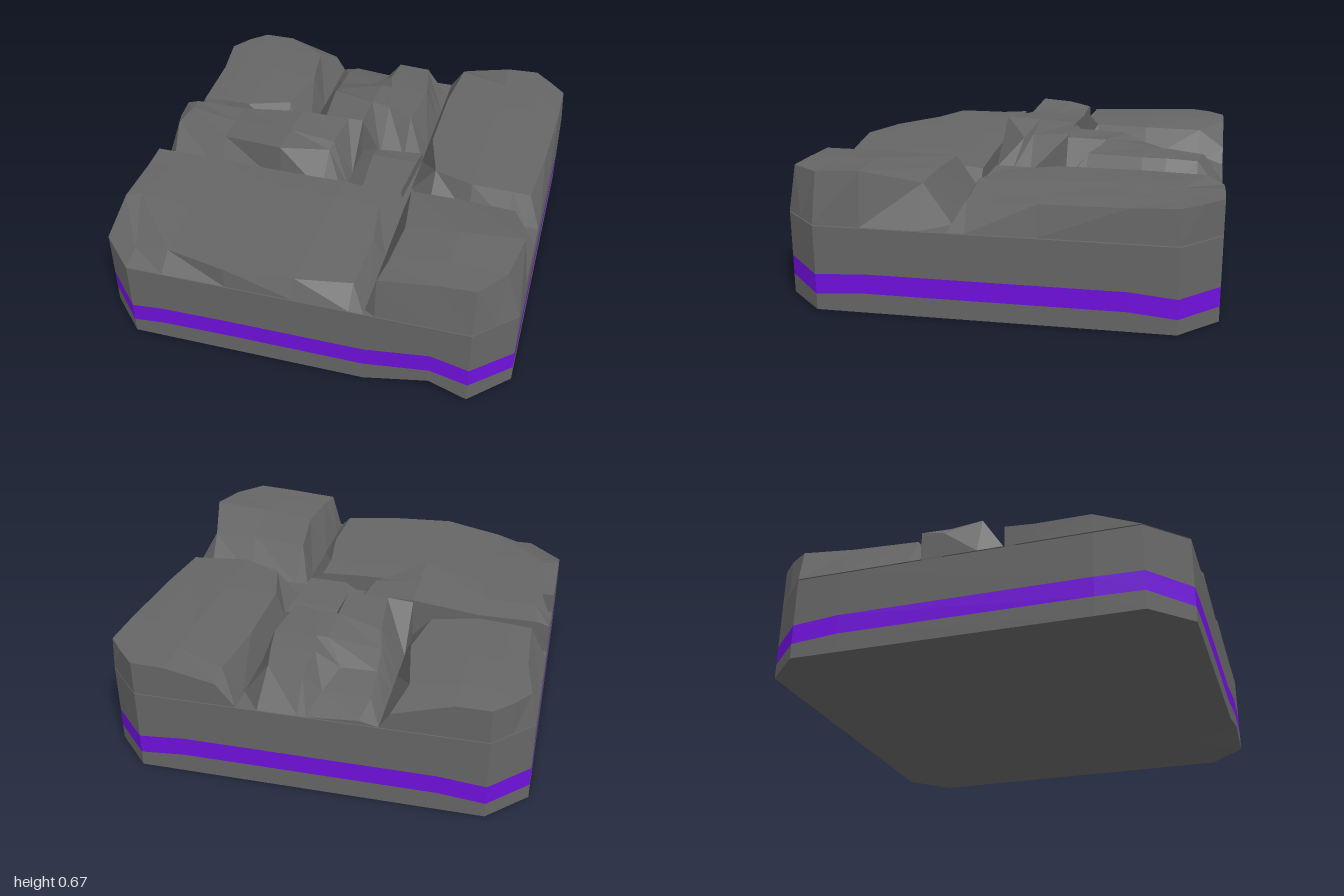
import * as THREE from 'three';

const SEAM = 0.41; // height of the cracks between the slabs
const rock = new THREE.MeshStandardMaterial({ color: 0x666666, flatShading: true, side: THREE.DoubleSide });
const glow = new THREE.MeshStandardMaterial({ color: 0x7010dd, flatShading: true, side: THREE.DoubleSide });

// Flat-shaded surface through a grid of [x, y, z] rows
function surface(name, rows, material) {
  const pos = [];
  const tri = (...p) => {
    const [a, b, c] = p.map((q) => new THREE.Vector3(...q));
    if (b.clone().sub(a).cross(c.clone().sub(a)).length() > 1e-7) pos.push(...p.flat());
  };
  for (let i = 0; i < rows.length - 1; i++) {
    for (let j = 0; j < rows[i].length - 1; j++) {
      const a = rows[i][j], b = rows[i + 1][j], c = rows[i + 1][j + 1], d = rows[i][j + 1];
      tri(a, b, c);
      tri(a, c, d);
    }
  }
  const geo = new THREE.BufferGeometry();
  geo.setAttribute('position', new THREE.Float32BufferAttribute(pos, 3));
  geo.computeVertexNormals();
  const mesh = new THREE.Mesh(geo, material);
  mesh.name = name;
  return mesh;
}

// Stone slab: rows run back to front, columns -x to +x; its rim drops to the seam
function slab(name, rows) {
  const drop = ([x, , z]) => [x, SEAM, z];
  const padded = rows.map((r) => [drop(r[0]), ...r, drop(r[r.length - 1])]);
  return surface(name, [padded[0].map(drop), ...padded, padded[padded.length - 1].map(drop)], rock);
}

// Chamfered outline [x, z, band shift, bottom rise], anticlockwise from the front left
const outline = [
  [-0.82, 1, -0.02, 0], [-0.66, 1, -0.005, 0], [-0.33, 1, 0, 0], [0.33, 1, 0, 0], [0.64, 1, 0.045, 0.07],
  [0.82, 1, 0, 0], [1, 0.82, -0.015, 0], [1, 0.6, 0, 0], [1, -0.6, 0, 0], [1, -0.82, -0.02, 0],
  [0.82, -1, -0.02, 0], [0.6, -1, 0, 0], [-0.6, -1, 0, 0], [-0.82, -1, -0.02, 0],
  [-1, -0.82, -0.02, 0], [-1, -0.6, 0, 0], [-1, 0.6, 0, 0], [-1, 0.82, -0.005, 0],
];
const ring = (scale, height) => [...outline, outline[0]].map(
  ([x, z, shift, rise]) => [x * scale, height(shift, rise), z * scale]);

export function createModel() {
  const model = new THREE.Group();
  model.name = 'rockTile';

  // Base: underside, foot, glowing band and wall
  const flat = (y) => () => y;
  const bandLow = ring(1, (s) => 0.093 + s);
  const bandHigh = ring(1, (s) => 0.187 + s);
  model.add(
    surface('foot', [bandLow, ring(1, (s, r) => r), ring(0.75, flat(0)), ring(0, flat(0))], rock),
    surface('glowingBand', [bandHigh, bandLow], glow),
    surface('wall', [ring(0, flat(0.405)), ring(1, flat(0.405)), bandHigh], rock),
  );

  model.add(slab('frontLowSlab', [
    [[-1, 0.51, 0.2], [-0.87, 0.51, 0.2], [-0.66, 0.51, 0.2], [-0.33, 0.5, 0.2], [0, 0.5, 0.2], [0.24, 0.49, 0.2], [0.33, SEAM, 0.2]],
    [[-1, 0.5, 0.34], [-0.87, 0.51, 0.32], [-0.66, 0.51, 0.34], [-0.33, 0.51, 0.34], [0, 0.51, 0.34], [0.23, 0.5, 0.34], [0.33, SEAM, 0.34]],
    [[-1, 0.5, 0.6], [-0.93, 0.505, 0.57], [-0.66, 0.51, 0.6], [-0.33, 0.51, 0.6], [0, 0.51, 0.6], [0.27, 0.5, 0.6], [0.33, SEAM, 0.6]],
    [[-1, SEAM, 0.82], [-0.82, 0.44, 0.89], [-0.64, 0.485, 0.91], [-0.33, 0.505, 0.99], [0, 0.505, 0.96], [0.26, 0.5, 0.91], [0.33, SEAM, 0.91]],
    [[-0.91, SEAM, 0.91], [-0.82, SEAM, 1], [-0.64, SEAM, 1], [-0.33, SEAM, 1], [0, SEAM, 1], [0.26, SEAM, 1], [0.33, SEAM, 1]],
  ]));

  model.add(slab('frontHighSlab', [
    [[0.33, SEAM, 0.2], [0.4, SEAM, 0.2], [0.66, SEAM, 0.2], [0.89, SEAM, 0.2], [1, SEAM, 0.2]],
    [[0.33, SEAM, 0.3], [0.38, 0.59, 0.3], [0.66, 0.605, 0.32], [0.89, 0.6, 0.33], [1, SEAM, 0.33]],
    [[0.33, SEAM, 0.6], [0.42, 0.61, 0.6], [0.68, 0.645, 0.6], [0.97, 0.665, 0.6], [1, SEAM, 0.6]],
    [[0.33, SEAM, 0.85], [0.4, 0.605, 0.85], [0.66, 0.635, 0.8], [0.93, 0.64, 0.82], [1, SEAM, 0.82]],
    [[0.33, SEAM, 0.97], [0.38, 0.6, 0.97], [0.64, 0.625, 0.96], [0.82, 0.635, 0.96], [0.91, SEAM, 0.91]],
    [[0.33, SEAM, 1], [0.38, SEAM, 1], [0.64, SEAM, 1], [0.82, SEAM, 1], [0.91, SEAM, 0.91]],
  ]));

  model.add(slab('backRightSlab', [
    [[0.33, SEAM, -1], [0.42, 0.52, -1], [0.66, 0.57, -1], [0.82, 0.575, -1], [0.91, 0.575, -0.91], [0.91, SEAM, -0.91]],
    [[0.33, SEAM, -0.9], [0.41, 0.56, -0.92], [0.66, 0.57, -0.82], [0.85, 0.57, -0.82], [0.99, 0.575, -0.82], [1, SEAM, -0.82]],
    [[0.33, SEAM, -0.6], [0.38, 0.56, -0.6], [0.66, 0.575, -0.6], [0.85, 0.57, -0.6], [0.99, 0.565, -0.6], [1, SEAM, -0.6]],
    [[0.33, SEAM, -0.2], [0.38, 0.56, -0.2], [0.65, 0.57, -0.2], [0.84, 0.56, -0.2], [0.97, 0.555, -0.2], [1, SEAM, -0.2]],
    [[0.33, SEAM, 0.05], [0.45, 0.55, 0.05], [0.65, 0.56, 0.13], [0.85, 0.55, 0.12], [0.94, 0.545, 0.12], [1, SEAM, 0.12]],
    [[0.33, SEAM, 0.2], [0.45, SEAM, 0.2], [0.65, SEAM, 0.2], [0.85, SEAM, 0.2], [0.94, SEAM, 0.2], [1, SEAM, 0.2]],
  ]));

  model.add(slab('middleStrip', [
    [[-1, 0.55, -0.2], [-0.94, 0.57, -0.2], [-0.66, 0.57, -0.2], [-0.33, 0.61, -0.2], [-0.08, 0.61, -0.2], [0, 0.61, -0.2]],
    [[-1, 0.53, -0.09], [-0.92, 0.6, -0.09], [-0.66, 0.585, -0.05], [-0.33, 0.62, 0], [-0.1, 0.59, 0], [0, SEAM, 0]],
    [[-1, SEAM, 0.07], [-0.93, 0.61, 0.07], [-0.66, 0.585, 0.1], [-0.33, 0.63, 0.18], [-0.11, 0.57, 0.05], [0, SEAM, 0.1]],
    [[-1, SEAM, 0.2], [-0.93, SEAM, 0.2], [-0.66, SEAM, 0.2], [-0.33, SEAM, 0.2], [-0.11, SEAM, 0.2], [0, SEAM, 0.2]],
  ]));

  model.add(slab('sunkenStone', [
    [[0, SEAM, -0.2], [0.08, 0.44, -0.2], [0.33, 0.46, -0.2]],
    [[0, SEAM, -0.1], [0.08, 0.46, -0.12], [0.32, 0.47, -0.1]],
    [[0, SEAM, 0.15], [0.1, 0.47, 0.16], [0.3, 0.47, 0.17]],
    [[0, SEAM, 0.2], [0.1, SEAM, 0.2], [0.33, SEAM, 0.2]],
  ]));

  model.add(slab('backMiddleSlab', [
    [[-0.33, SEAM, -1], [-0.24, 0.43, -1], [0, SEAM, -1], [0.04, SEAM, -1], [0.23, SEAM, -1], [0.33, SEAM, -1]],
    [[-0.33, SEAM, -0.88], [-0.27, 0.47, -0.88], [-0.04, 0.47, -0.87], [0.04, 0.56, -0.9], [0.21, 0.57, -0.87], [0.33, SEAM, -0.87]],
    [[-0.33, SEAM, -0.7], [-0.26, 0.5, -0.7], [-0.09, 0.51, -0.72], [0.03, 0.58, -0.72], [0.24, 0.585, -0.72], [0.33, SEAM, -0.7]],
    [[-0.33, SEAM, -0.57], [-0.25, 0.54, -0.57], [0, 0.59, -0.6], [0.06, 0.59, -0.6], [0.26, 0.59, -0.6], [0.33, SEAM, -0.6]],
    [[-0.33, SEAM, -0.4], [-0.23, 0.59, -0.48], [0, 0.605, -0.4], [0.1, 0.6, -0.38], [0.23, 0.59, -0.33], [0.33, SEAM, -0.33]],
    [[-0.33, 0.6, -0.2], [-0.2, 0.61, -0.2], [0, 0.61, -0.2], [0.1, SEAM, -0.2], [0.23, SEAM, -0.2], [0.33, SEAM, -0.2]],
  ]));

  model.add(slab('backLeftSlab', [
    [[-0.91, SEAM, -0.91], [-0.9, 0.575, -0.92], [-0.82, 0.575, -1], [-0.66, 0.575, -1], [-0.38, 0.49, -1], [-0.33, SEAM, -1]],
    [[-1, SEAM, -0.82], [-0.97, 0.57, -0.82], [-0.82, 0.585, -0.85], [-0.66, 0.59, -0.85], [-0.44, 0.57, -0.87], [-0.33, SEAM, -0.87]],
    [[-1, SEAM, -0.6], [-0.93, 0.57, -0.58], [-0.82, 0.585, -0.6], [-0.66, 0.59, -0.6], [-0.39, 0.585, -0.58], [-0.33, SEAM, -0.58]],
    [[-1, SEAM, -0.26], [-0.92, 0.56, -0.25], [-0.82, 0.57, -0.25], [-0.66, 0.575, -0.24], [-0.44, 0.58, -0.31], [-0.33, SEAM, -0.31]],
    [[-1, SEAM, -0.2], [-0.92, SEAM, -0.2], [-0.82, SEAM, -0.2], [-0.66, SEAM, -0.2], [-0.44, SEAM, -0.2], [-0.33, SEAM, -0.2]],
  ]));

  return model;
}
